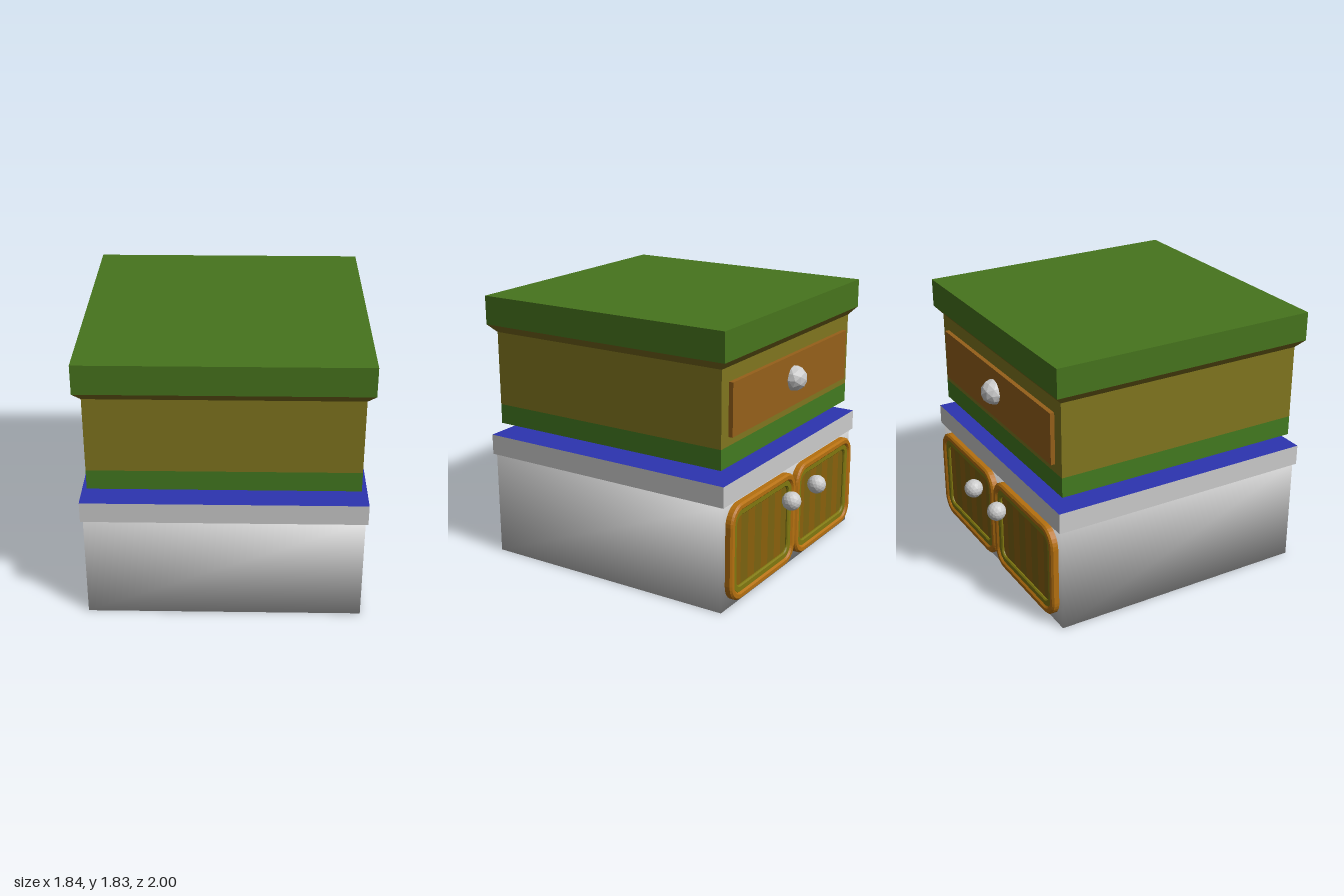
import * as THREE from 'three';
import { mergeVertices } from 'three/addons/utils/BufferGeometryUtils.js';

const mat = (color, flatShading = true) => new THREE.MeshStandardMaterial({ color, flatShading });
const GREY = 0xcccccc;
const CZ = 0.075; // the cabinet body sits slightly forward of the knobs

function add(parent, name, geometry, material, x = 0, y = 0, z = 0) {
  const mesh = new THREE.Mesh(geometry, material);
  mesh.name = name;
  mesh.position.set(x, y, z);
  parent.add(mesh);
  return mesh;
}

// Box between two heights, with its lower face drawn in by inset
function block(w, d, y0, y1, inset = 0) {
  const g = new THREE.BoxGeometry(w, y1 - y0, d);
  const p = g.attributes.position;
  for (let i = 0; i < p.count; i++) {
    if (p.getY(i) < 0) {
      p.setX(i, p.getX(i) - Math.sign(p.getX(i)) * inset);
      p.setZ(i, p.getZ(i) - Math.sign(p.getZ(i)) * inset);
    }
  }
  g.translate(0, (y0 + y1) / 2, 0);
  g.computeVertexNormals();
  return g;
}

// Box with normals shared across its corners
function softBlock(w, d, y0, y1) {
  const g = block(w, d, y0, y1);
  g.deleteAttribute('normal');
  g.deleteAttribute('uv');
  const merged = mergeVertices(g);
  merged.computeVertexNormals();
  return merged;
}

function roundedRect(path, w, h, r) {
  const x = w / 2, y = h / 2;
  path.moveTo(-x + r, -y);
  path.lineTo(x - r, -y);
  path.absarc(x - r, -y + r, r, -Math.PI / 2, 0);
  path.lineTo(x, y - r);
  path.absarc(x - r, y - r, r, 0, Math.PI / 2);
  path.lineTo(-x + r, y);
  path.absarc(-x + r, y - r, r, Math.PI / 2, Math.PI);
  path.lineTo(-x, -y + r);
  path.absarc(-x + r, -y + r, r, Math.PI, Math.PI * 1.5);
  return path;
}

// Rounded rectangular ring with chamfered edges, standing on z = 0
function ring(w, h, r, band, depth, bevel) {
  const shape = roundedRect(new THREE.Shape(), w - 2 * bevel, h - 2 * bevel, r - bevel);
  const inner = band + bevel;
  shape.holes.push(roundedRect(new THREE.Path(), w - 2 * inner + 4 * bevel, h - 2 * inner + 4 * bevel, r - band + bevel));
  const g = new THREE.ExtrudeGeometry(shape, {
    depth: depth - bevel, bevelEnabled: true, bevelThickness: bevel,
    bevelSize: bevel, bevelSegments: 1, curveSegments: 4,
  });
  return g;
}

function cabinetDoor(side) {
  const door = new THREE.Group();
  door.name = side > 0 ? 'rightDoor' : 'leftDoor';
  const w = 0.855, h = 0.66;
  add(door, 'doorFrame', ring(w, h, 0.13, 0.05, 0.048, 0.012), mat(0xb5700f));
  add(door, 'doorMoulding', ring(w - 0.08, h - 0.08, 0.1, 0.05, 0.036, 0.008), mat(0x80780f));
  // Vertical slats filling the opening
  const slats = 8, sw = (w - 0.15) / slats;
  for (let i = 0; i < slats; i++) {
    add(door, 'doorSlat', new THREE.BoxGeometry(sw, h - 0.15, 0.02),
      mat(i % 2 ? 0x7a620f : 0x8a600c), (i - (slats - 1) / 2) * sw, 0, 0.01);
  }
  add(door, 'doorKnob', new THREE.IcosahedronGeometry(0.065, 2), mat(GREY), -side * 0.25, 0.17, 0.105);
  door.position.set(side * 0.433, 0.37, 0.83);
  return door;
}

export function createModel() {
  const model = new THREE.Group();
  model.name = 'cabinet';
  const shell = new THREE.Group();
  shell.name = 'cabinetShell';
  shell.position.z = CZ;
  model.add(shell);

  // Lower cabinet and its worktop with a blue upper face
  add(shell, 'lowerBody', softBlock(1.81, 1.81, 0, 0.72), mat(GREY, false));
  const grey = mat(GREY);
  const worktop = [grey, grey, mat(0x2c34b0), grey, grey, grey];
  add(shell, 'worktop', block(1.84, 1.85, 0.72, 0.86), worktop);

  // Shallow tray in the gap
  add(shell, 'tray', block(1.53, 1.09, 0.88, 0.92, 0.05), mat(0x5c3a32), 0, 0, 0.04);

  // Upper cabinet
  add(shell, 'upperBase', block(1.74, 1.75, 0.94, 1.075), mat(0x437a20));
  add(shell, 'upperBody', block(1.74, 1.75, 1.075, 1.58), mat(0x80761f));
  add(shell, 'topMoulding', block(1.84, 1.85, 1.58, 1.635, 0.05), mat(0x7a6a1c));
  add(shell, 'topSlab', block(1.84, 1.85, 1.635, 1.83), mat(0x47741d));

  // Drawer and doors on the back face
  const fronts = new THREE.Group();
  fronts.name = 'drawerAndDoors';
  fronts.rotation.y = Math.PI;
  model.add(fronts);
  add(fronts, 'drawerFront', new THREE.BoxGeometry(1.57, 0.35, 0.04), mat(0x96601a), 0, 1.31, 0.81);
  add(fronts, 'drawerKnob', new THREE.IcosahedronGeometry(0.087, 1), mat(GREY), 0, 1.325, 0.835);
  for (const side of [-1, 1]) fronts.add(cabinetDoor(side));

  return model;
}
